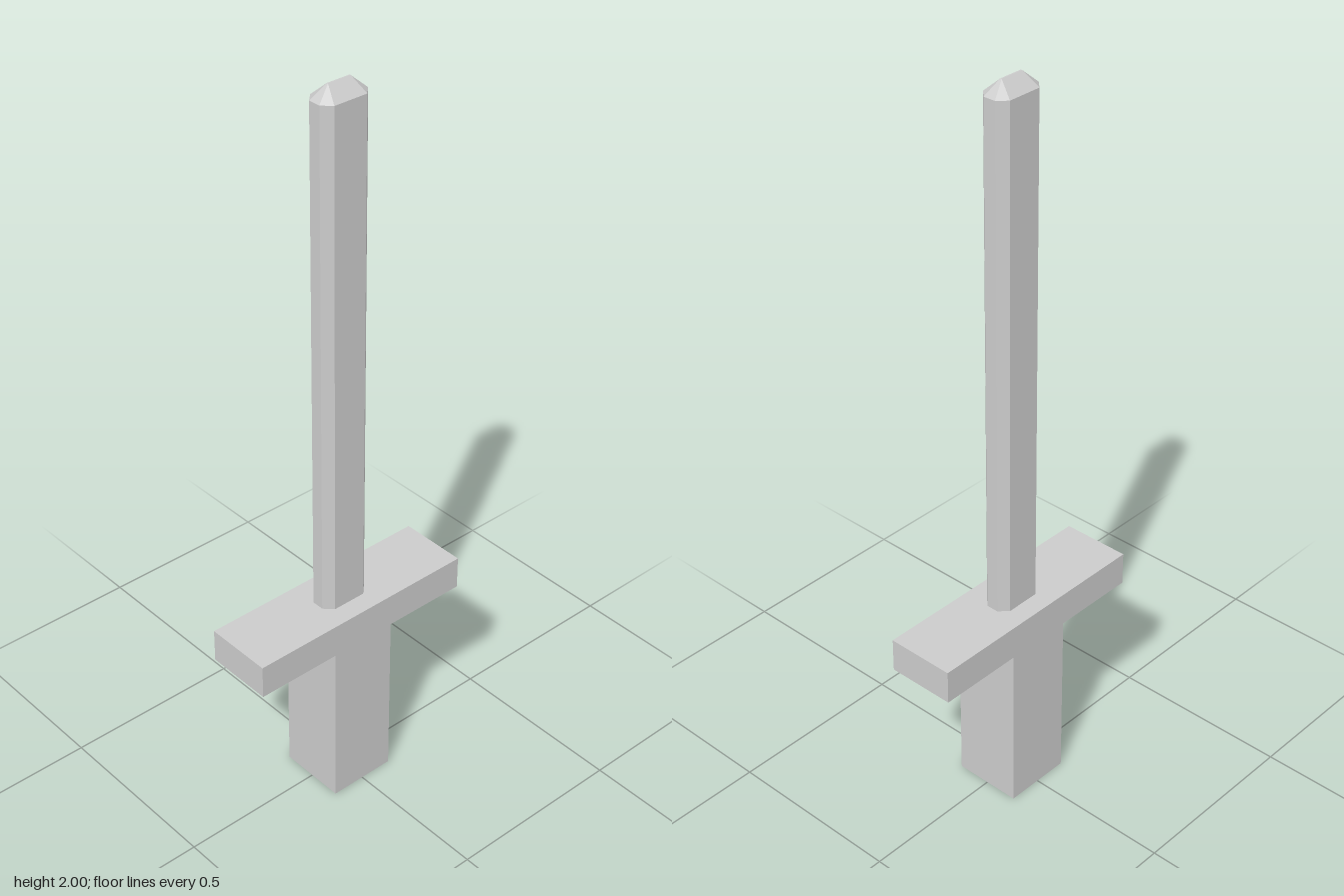
import * as THREE from 'three';

const material = new THREE.MeshStandardMaterial({ color: 0xcccccc, flatShading: true });

// Skin stacked rings of equal point count, counter-clockwise seen from above
function loft(rings) {
  const pos = [];
  const n = rings[0].length;
  const tri = (a, b, c) => {
    const area = b.clone().sub(a).cross(c.clone().sub(a)).length();
    if (area > 1e-9) pos.push(...a.toArray(), ...b.toArray(), ...c.toArray());
  };
  for (let r = 0; r < rings.length - 1; r++) {
    const lo = rings[r], hi = rings[r + 1];
    for (let i = 0; i < n; i++) {
      const j = (i + 1) % n;
      tri(lo[i], lo[j], hi[j]);
      tri(lo[i], hi[j], hi[i]);
    }
  }
  const first = rings[0], last = rings[rings.length - 1];
  for (let i = 1; i < n - 1; i++) {
    tri(first[0], first[i + 1], first[i]);
    tri(last[0], last[i], last[i + 1]);
  }
  const geo = new THREE.BufferGeometry();
  geo.setAttribute('position', new THREE.Float32BufferAttribute(pos, 3));
  geo.computeVertexNormals();
  return geo;
}

// Rectangle with chamfered corners at height y
function ring(y, halfX, halfZ, chamfer) {
  const a = halfX - chamfer, b = halfZ - chamfer;
  return [
    [halfX, b], [halfX, -b], [a, -halfZ], [-a, -halfZ],
    [-halfX, -b], [-halfX, b], [-a, halfZ], [a, halfZ],
  ].map(([x, z]) => new THREE.Vector3(x, y, z));
}

export function createModel() {
  const group = new THREE.Group();
  const guardBottom = 0.48, guardTop = 0.573;
  const halfWidth = 0.095, guardHalf = 0.333;

  // Grip and crossguard: one T-shaped block, extruded across x
  const tee = new THREE.Shape([
    [-halfWidth, 0], [halfWidth, 0], [halfWidth, guardBottom], [guardHalf, guardBottom],
    [guardHalf, guardTop], [-guardHalf, guardTop], [-guardHalf, guardBottom], [-halfWidth, guardBottom],
  ].map(([z, y]) => new THREE.Vector2(z, y)));
  const hiltGeo = new THREE.ExtrudeGeometry(tee, { depth: 2 * halfWidth, bevelEnabled: false });
  hiltGeo.translate(0, 0, -halfWidth).rotateY(Math.PI / 2);
  const hilt = new THREE.Mesh(hiltGeo, material);
  hilt.name = 'gripAndCrossguard';

  // Blade: chamfered bar closing to a narrow ridge at the tip
  const blade = new THREE.Mesh(loft([
    ring(guardTop, 0.04, 0.071, 0.023),
    ring(1.965, 0.04, 0.071, 0.023),
    ring(2, 0.002, 0.033, 0),
  ]), material);
  blade.name = 'blade';

  group.add(hilt, blade);
  return group;
}
